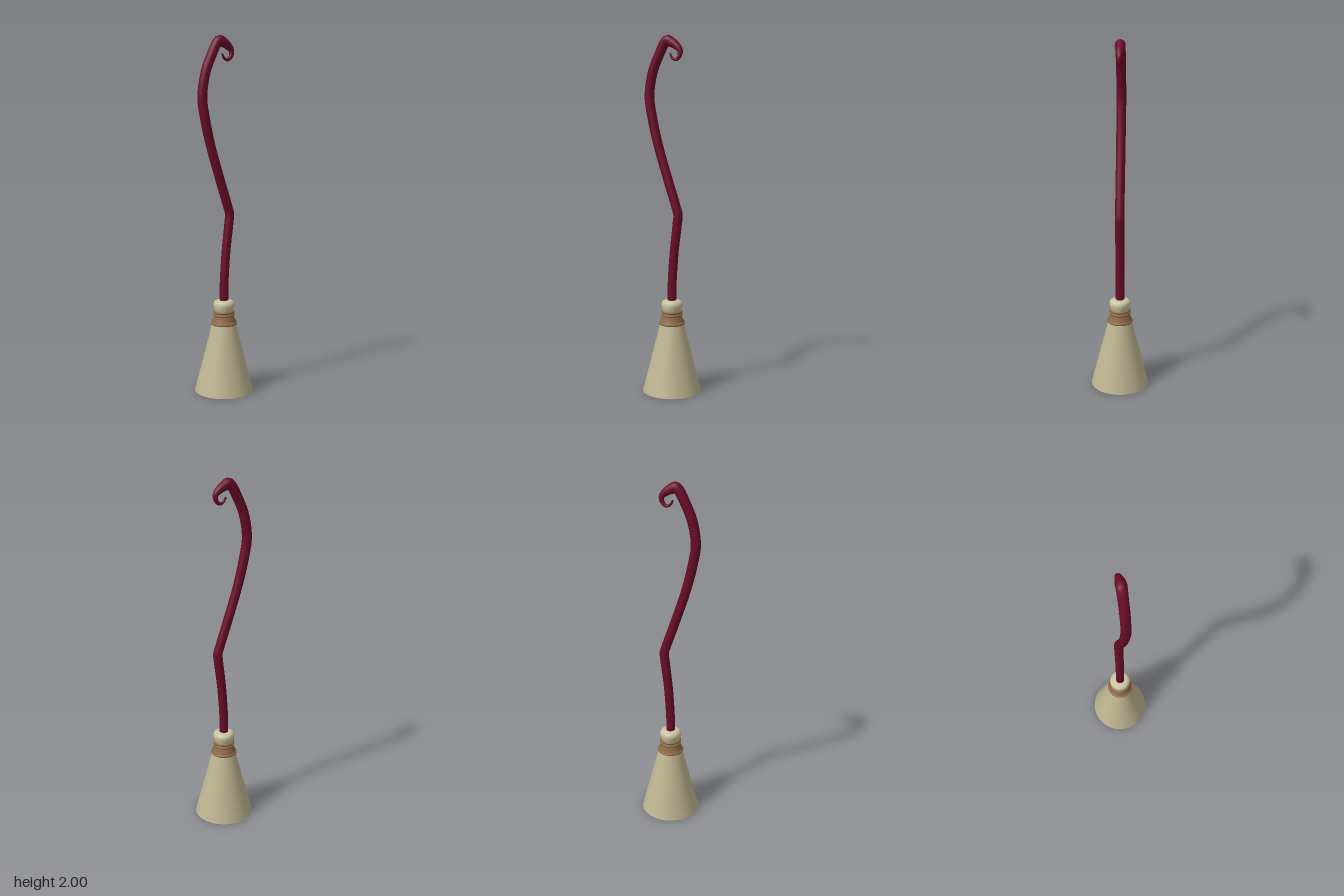
import * as THREE from 'three';

const mat = (name, color, side = THREE.FrontSide) => {
  const m = new THREE.MeshStandardMaterial({ color, side });
  m.name = name;
  return m;
};

export function createModel() {
  const group = new THREE.Group();
  const crimson = mat('crimson', 0x6a0c28);
  const straw = mat('straw', 0xbfb592);
  const ivory = mat('ivory', 0xcac3a2);
  const brown = mat('brown', 0x8f6c45);

  const add = (name, geometry, material) => {
    const mesh = new THREE.Mesh(geometry, material);
    mesh.name = name;
    group.add(mesh);
    return mesh;
  };
  const lathe = (points, segments = 40) =>
    new THREE.LatheGeometry(points.map(([r, y]) => new THREE.Vector2(r, y)), segments);
  const ring = (name, radius, tube, y) => {
    const mesh = add(name, new THREE.TorusGeometry(radius, tube, 10, 40), brown);
    mesh.rotation.x = Math.PI / 2;
    mesh.position.y = y;
  };

  // Conical head, closed underneath
  const head = add('broomHead', new THREE.CylinderGeometry(0.066, 0.166, 0.395, 40), straw);
  head.position.y = 0.1975;

  // Flared binding with three rings
  add('binding', lathe([[0.07, 0.392], [0.068, 0.405], [0.057, 0.43], [0.054, 0.465]]), brown);
  ring('lowerRing', 0.067, 0.008, 0.395);
  ring('middleRing', 0.053, 0.008, 0.443);
  ring('upperRing', 0.053, 0.008, 0.461);

  // Rounded cap where the handle enters
  add('cap', lathe([[0.048, 0.46], [0.055, 0.47], [0.055, 0.483], [0.06, 0.492],
    [0.06, 0.508], [0.054, 0.519], [0.042, 0.526], [0, 0.528]]), ivory);

  // Handle: x, y and radius along a curve ending in a tapering curl
  const path = [
    [0, 0.5, 0.025], [0, 0.6, 0.025], [0.013, 0.8, 0.025], [0.033, 0.97, 0.026],
    [0.037, 1.015, 0.026], [0.026, 1.055, 0.026], [-0.022, 1.2, 0.026], [-0.085, 1.4, 0.026],
    [-0.121, 1.55, 0.027], [-0.138, 1.667, 0.027], [-0.117, 1.8, 0.027], [-0.075, 1.9, 0.027],
    [-0.044, 1.957, 0.028], [-0.027, 1.971, 0.029], [-0.005, 1.961, 0.028], [0.025, 1.942, 0.022],
    [0.047, 1.918, 0.016], [0.046, 1.888, 0.012], [0.025, 1.867, 0.009],
    [0.001, 1.875, 0.007], [-0.013, 1.903, 0.005],
  ];
  const curve = new THREE.CatmullRomCurve3(path.map(([x, y]) => new THREE.Vector3(x, y, 0)));
  const steps = 240, sides = 16;
  curve.arcLengthDivisions = 800;
  const handle = new THREE.TubeGeometry(curve, steps, 1, sides);
  const pos = handle.attributes.position;
  const v = new THREE.Vector3();
  for (let i = 0; i <= steps; i++) {
    const centre = curve.getPointAt(i / steps);
    const t = curve.getUtoTmapping(i / steps) * (path.length - 1);
    const k = Math.min(Math.floor(t), path.length - 2);
    const radius = i === steps ? 0 : THREE.MathUtils.lerp(path[k][2], path[k + 1][2], t - k);
    for (let j = 0; j <= sides; j++) {
      const n = i * (sides + 1) + j;
      v.fromBufferAttribute(pos, n).sub(centre).multiplyScalar(radius).add(centre);
      pos.setXYZ(n, v.x, v.y, v.z);
    }
  }
  add('handle', handle, crimson);

  return group;
}
